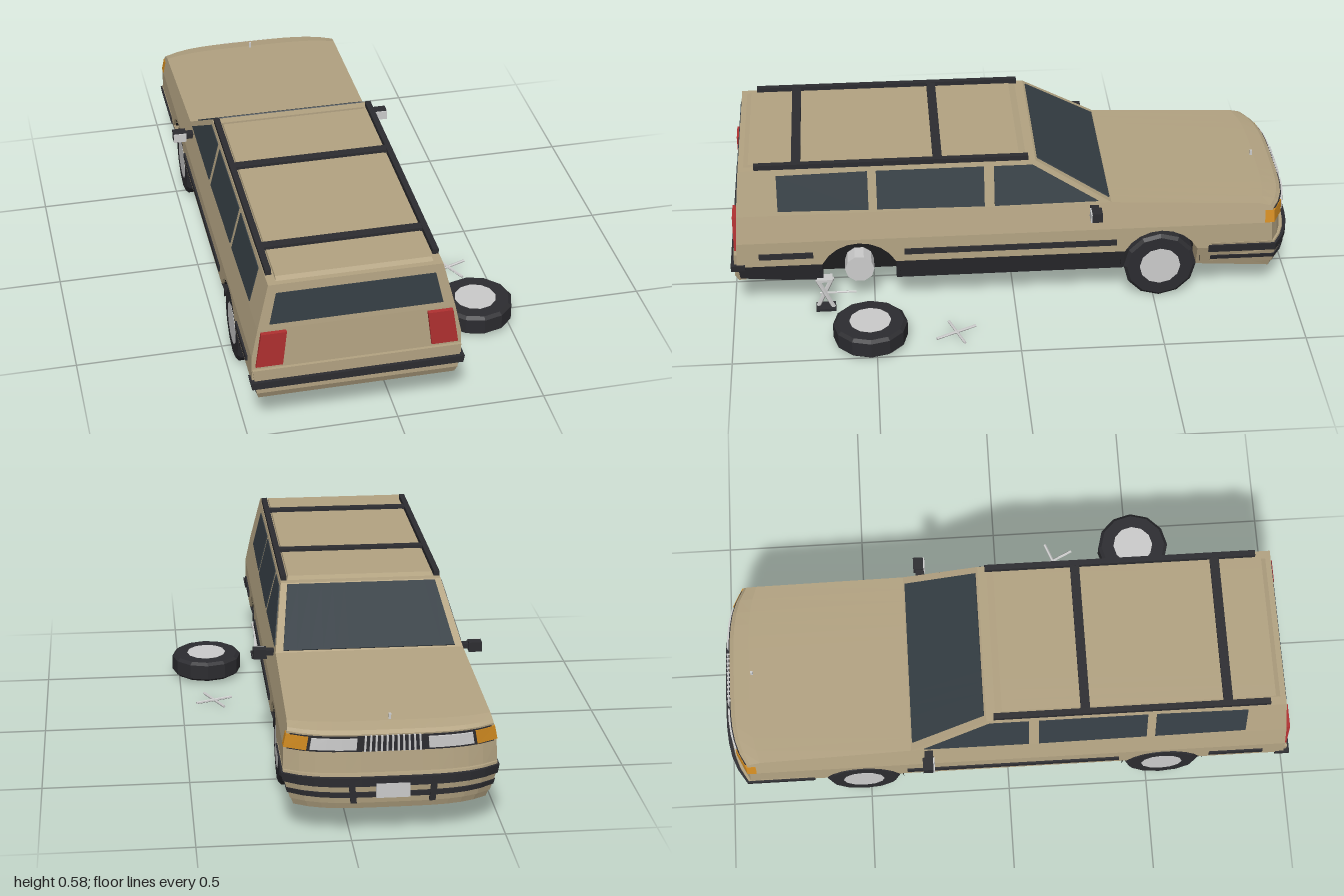
import * as THREE from 'three';

const paint = (color, side = THREE.FrontSide) => new THREE.MeshStandardMaterial({ color, flatShading: true, side });
const tan = paint(0xb3a382), dark = paint(0x2c2c30), black = paint(0x1c1c1e, THREE.DoubleSide);
const glass = paint(0x353e44), red = paint(0xb03030), orange = paint(0xd08a20), grey = paint(0xcccccc);

// Half width of the car at each height
const WIDTHS = [[0.09, 0.31], [0.12, 0.322], [0.205, 0.347], [0.3, 0.345], [0.4, 0.324], [0.56, 0.284], [0.6, 0.275]];
function halfWidth(y) {
  let i = 1;
  while (i < WIDTHS.length - 1 && y > WIDTHS[i][0]) i++;
  const [a, b] = [WIDTHS[i - 1], WIDTHS[i]];
  return a[1] + (b[1] - a[1]) * (y - a[0]) / (b[0] - a[0]);
}

// Side outline of [z, y] points swept across the car from t0 to t1 (fractions
// of the half width); the nose is bowed back towards its corners.
function panel(parent, name, material, points, t0 = -1, t1 = 1) {
  const shape = new THREE.Shape(points.map(([z, y]) => new THREE.Vector2(-z, y)));
  const steps = Math.max(1, Math.round((t1 - t0) * 7));
  const geometry = new THREE.ExtrudeGeometry(shape, { depth: t1 - t0, steps, bevelEnabled: false });
  const p = geometry.attributes.position;
  for (let i = 0; i < p.count; i++) {
    const t = p.getZ(i) + t0, y = p.getY(i), z = -p.getX(i);
    const bow = Math.max(0, (-0.8 - z) / 0.2) * 0.065 * t ** 4;
    p.setXYZ(i, t * halfWidth(y), y, z + bow);
  }
  geometry.computeVertexNormals();
  return add(parent, name, geometry, material);
}

// The same panel on both sides of the car
function pair(parent, name, material, points, t0, t1) {
  panel(parent, name, material, points, t0, t1);
  panel(parent, name, material, points, -t1, -t0);
}

const rect = (z0, z1, y0, y1) => [[z0, y0], [z1, y0], [z1, y1], [z0, y1]];

function add(parent, name, geometry, material, x = 0, y = 0, z = 0) {
  const mesh = new THREE.Mesh(geometry, material);
  mesh.name = name;
  mesh.position.set(x, y, z);
  parent.add(mesh);
  return mesh;
}

function box(parent, name, material, size, x, y, z) {
  return add(parent, name, new THREE.BoxGeometry(...size), material, x, y, z);
}

// Thin round bar between two points
function rod(parent, name, material, a, b, r = 0.005) {
  const from = new THREE.Vector3(...a), to = new THREE.Vector3(...b);
  const mesh = add(parent, name, new THREE.CylinderGeometry(r, r, from.distanceTo(to), 6), material);
  mesh.position.copy(from).lerp(to, 0.5);
  mesh.quaternion.setFromUnitVectors(new THREE.Vector3(0, 1, 0), to.sub(from).normalize());
}

// Wheel lying flat, axle along y
function wheel(parent, name) {
  const group = new THREE.Group();
  group.name = name;
  const profile = [[0.07, -0.037], [0.118, -0.037], [0.13, -0.027], [0.13, 0.027], [0.118, 0.037], [0.07, 0.037]];
  add(group, 'tire', new THREE.LatheGeometry(profile.map(p => new THREE.Vector2(...p)), 12), dark);
  add(group, 'hubcap', new THREE.CylinderGeometry(0.073, 0.073, 0.076, 12), grey);
  parent.add(group);
  return group;
}

const ARCH = { r: 0.145, y: 0.14, front: -0.52, rear: 0.55 };
// Arch outline from its rear foot to its front foot, at the sill height
function archPoints(zc) {
  const a0 = Math.asin((0.205 - ARCH.y) / ARCH.r), points = [];
  for (let i = 0; i <= 8; i++) {
    const a = a0 + (Math.PI - 2 * a0) * i / 8;
    points.push([zc + ARCH.r * Math.cos(a), ARCH.y + ARCH.r * Math.sin(a)]);
  }
  return points;
}

export function createModel() {
  const model = new THREE.Group();
  model.name = 'stationWagonWithFlatTire';
  const car = new THREE.Group();
  car.name = 'car';
  car.position.x = -0.133;
  model.add(car);

  // Body shell
  panel(car, 'bodySides', tan, [[0.975, 0.3], [0.98, 0.205], ...archPoints(ARCH.rear),
    ...archPoints(ARCH.front), [-0.975, 0.205], [-0.965, 0.3]]);
  panel(car, 'shoulderAndHood', tan, [[0.975, 0.3], [-0.965, 0.3], [-0.97, 0.355], [-0.955, 0.364],
    [-0.9, 0.373], [-0.33, 0.4], [0.97, 0.4]]);
  panel(car, 'cabin', tan, [[0.97, 0.4], [-0.34, 0.4], [-0.075, 0.56], [0.955, 0.56]]);
  panel(car, 'roofPanel', tan, [[-0.05, 0.558], [0.94, 0.558], [0.92, 0.568], [-0.02, 0.568]], -0.9, 0.9);
  panel(car, 'rearSill', dark, [[0.975, 0.205], [0.97, 0.148], [0.81, 0.13], [0.68, 0.125], [0.68, 0.205]]);
  panel(car, 'sill', dark, rect(-0.39, 0.42, 0.12, 0.205));
  panel(car, 'frontValance', tan, [[-0.65, 0.205], [-0.65, 0.125], [-0.97, 0.1], [-0.985, 0.15], [-0.98, 0.205]]);
  panel(car, 'frontUndertray', black, [[-0.64, 0.118], [-0.95, 0.094], [-0.95, 0.105], [-0.64, 0.13]], -0.97, 0.97);
  box(car, 'floor', black, [0.5, 0.2, 1.7], 0, 0.218, 0.06);
  for (const z of [ARCH.front, ARCH.rear]) {
    const liner = new THREE.CylinderGeometry(0.144, 0.144, 0.675, 16, 1, true, 0, Math.PI);
    add(car, 'wheelArchLiner', liner, black, 0, ARCH.y, z).rotation.set(0, 0, Math.PI / 2);
  }

  // Glass
  panel(car, 'windshield', glass, [[-0.336, 0.407], [-0.084, 0.559], [-0.08, 0.553], [-0.33, 0.4]], -0.92, 0.92);
  panel(car, 'rearWindow', glass, [[0.971, 0.42], [0.961, 0.53], [0.95, 0.53], [0.95, 0.42]], -0.89, 0.89);
  const windows = [
    [[0.825, 0.415], [0.825, 0.54], [0.51, 0.545], [0.51, 0.41]],
    [[0.48, 0.41], [0.48, 0.545], [0.105, 0.545], [0.105, 0.405]],
    [[0.07, 0.405], [0.07, 0.545], [-0.065, 0.545], [-0.295, 0.407]],
  ];
  for (const w of windows) pair(car, 'sideWindow', glass, w, 0.99, 1.01);

  // Side mouldings
  pair(car, 'sideMoulding', dark, rect(0.71, 0.9, 0.235, 0.256), 0.99, 1.018);
  pair(car, 'sideMoulding', dark, rect(-0.36, 0.39, 0.235, 0.256), 0.99, 1.018);

  // Nose: grille, lamps and bumper
  panel(car, 'lampSurround', dark, rect(-0.974, -0.94, 0.298, 0.35), -0.97, 0.97);
  for (let i = 0; i < 11; i++) {
    const t = (i - 5) * 0.052;
    panel(car, 'grilleBar', grey, rect(-0.981, -0.95, 0.3, 0.352), t - 0.009, t + 0.009);
  }
  pair(car, 'headlight', grey, rect(-0.981, -0.95, 0.306, 0.344), 0.34, 0.77);
  pair(car, 'turnSignal', orange, rect(-0.979, -0.93, 0.302, 0.347), 0.8, 1.005);
  panel(car, 'frontBumper', tan, [[-0.7, 0.135], [-0.985, 0.125], [-0.993, 0.19], [-0.985, 0.225], [-0.7, 0.225]], -1.005, 1.005);
  panel(car, 'frontBumperStrip', dark, rect(-1, -0.69, 0.187, 0.217), -1.02, 1.02);
  panel(car, 'frontLowerStrip', dark, rect(-0.996, -0.7, 0.148, 0.165), -1.015, 1.015);
  pair(car, 'bumperGuard', dark, rect(-1, -0.97, 0.13, 0.217), 0.36, 0.42);
  box(car, 'frontPlate', grey, [0.11, 0.05, 0.01], 0, 0.172, -0.996);
  box(car, 'hoodOrnament', grey, [0.008, 0.022, 0.008], 0, 0.382, -0.89);

  // Tail: lamps and bumper
  pair(car, 'tailLight', red, rect(0.95, 0.985, 0.267, 0.393), 0.71, 0.965);
  panel(car, 'rearBumper', tan, [[0.95, 0.255], [0.988, 0.255], [0.988, 0.165], [0.977, 0.14], [0.95, 0.14]], -0.995, 0.995);
  panel(car, 'rearBumperStrip', dark, rect(0.95, 1, 0.19, 0.215), -1.02, 1.02);

  // Roof rack
  for (const s of [-1, 1]) {
    box(car, 'roofRail', dark, [0.02, 0.018, 0.95], s * 0.2725, 0.57, 0.425);
    // Door mirrors
    box(car, 'mirrorArm', dark, [0.06, 0.018, 0.03], s * 0.335, 0.383, -0.28);
    box(car, 'mirrorHousing', dark, [0.046, 0.034, 0.036], s * 0.375, 0.381, -0.284);
    box(car, 'mirrorGlass', grey, [0.046, 0.032, 0.006], s * 0.375, 0.381, -0.264);
  }
  for (const z of [0.265, 0.755]) box(car, 'roofCrossbar', dark, [0.56, 0.012, 0.032], 0, 0.572, z);

  // Mounted wheels, and the bare hub where one is off
  for (const [x, z] of [[-0.3, ARCH.front], [0.3, ARCH.front], [-0.3, ARCH.rear]]) {
    const w = wheel(car, z < 0 ? 'frontWheel' : 'rearWheel');
    w.position.set(x, 0.13, z);
    w.rotation.z = Math.PI / 2;
  }
  add(car, 'bareHub', new THREE.CylinderGeometry(0.052, 0.052, 0.07, 10), grey, 0.28, 0.156, ARCH.rear).rotation.z = Math.PI / 2;

  // Removed wheel
  wheel(model, 'removedWheel').position.set(0.395, 0.047, 0.52);

  // Scissor jack
  const jack = new THREE.Group();
  jack.name = 'jack';
  jack.position.set(0.188, 0, 0.675);
  model.add(jack);
  box(jack, 'jackBase', dark, [0.048, 0.01, 0.07], 0, 0.005, 0);
  box(jack, 'jackSaddle', grey, [0.04, 0.01, 0.055], 0, 0.127, 0);
  for (const s of [-1, 1]) {
    rod(jack, 'jackArm', grey, [0.006 * s, 0.008, -0.027 * s], [0.006 * s, 0.125, 0.027 * s], 0.008);
  }
  rod(jack, 'jackHandle', grey, [0, 0.065, 0.02], [0, 0.065, -0.11], 0.004);

  // Lug wrench
  rod(model, 'lugWrenchBar', grey, [0.347, 0.007, 0.15], [0.415, 0.007, 0.29]);
  rod(model, 'lugWrenchBar', grey, [0.315, 0.007, 0.243], [0.447, 0.007, 0.193]);
  return model;
}
